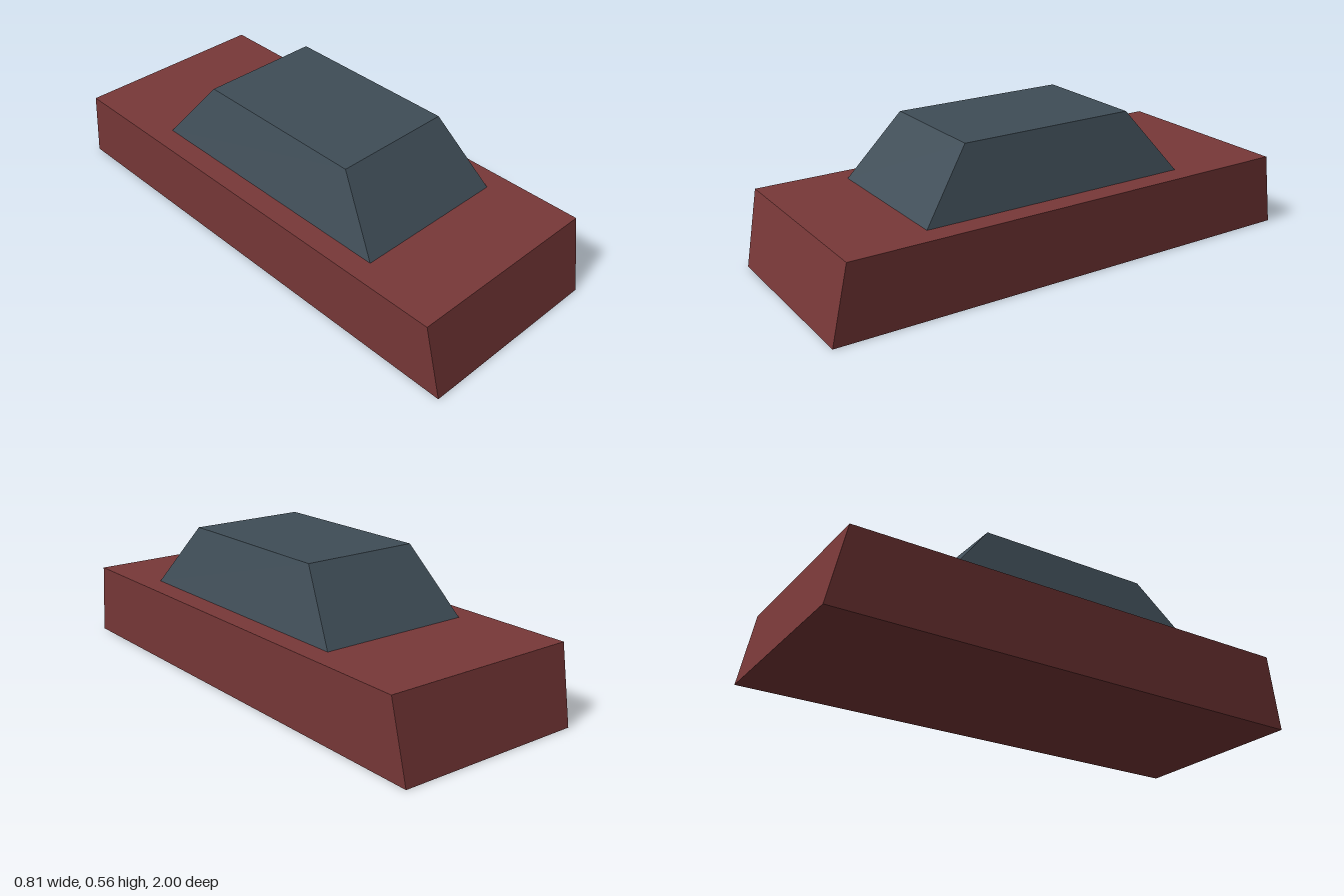
import * as THREE from 'three';

// Tapered box: bottom and top are { x: half width, back, front, y }
function taperedBox(name, color, bottom, top) {
  const geometry = new THREE.BoxGeometry(1, 1, 1);
  const pos = geometry.attributes.position;
  for (let i = 0; i < pos.count; i++) {
    const end = pos.getY(i) > 0 ? top : bottom;
    pos.setXYZ(i, Math.sign(pos.getX(i)) * end.x, end.y, pos.getZ(i) > 0 ? end.front : end.back);
  }
  geometry.computeVertexNormals();
  const mesh = new THREE.Mesh(geometry, new THREE.MeshStandardMaterial({ color, flatShading: true }));
  mesh.name = name;
  return mesh;
}

export function createModel() {
  const model = new THREE.Group();
  model.name = 'car';

  // Long lower body, slightly wider and shorter at the top
  model.add(taperedBox('body', 0x783838,
    { x: 0.388, back: -1, front: 1, y: 0 },
    { x: 0.404, back: -0.94, front: 0.94, y: 0.3 }));

  // Cabin with sloping windscreens and sides, set a little forward
  model.add(taperedBox('cabin', 0x3f4d57,
    { x: 0.315, back: -0.52, front: 0.6, y: 0.3 },
    { x: 0.242, back: -0.32, front: 0.4, y: 0.556 }));

  return model;
}
